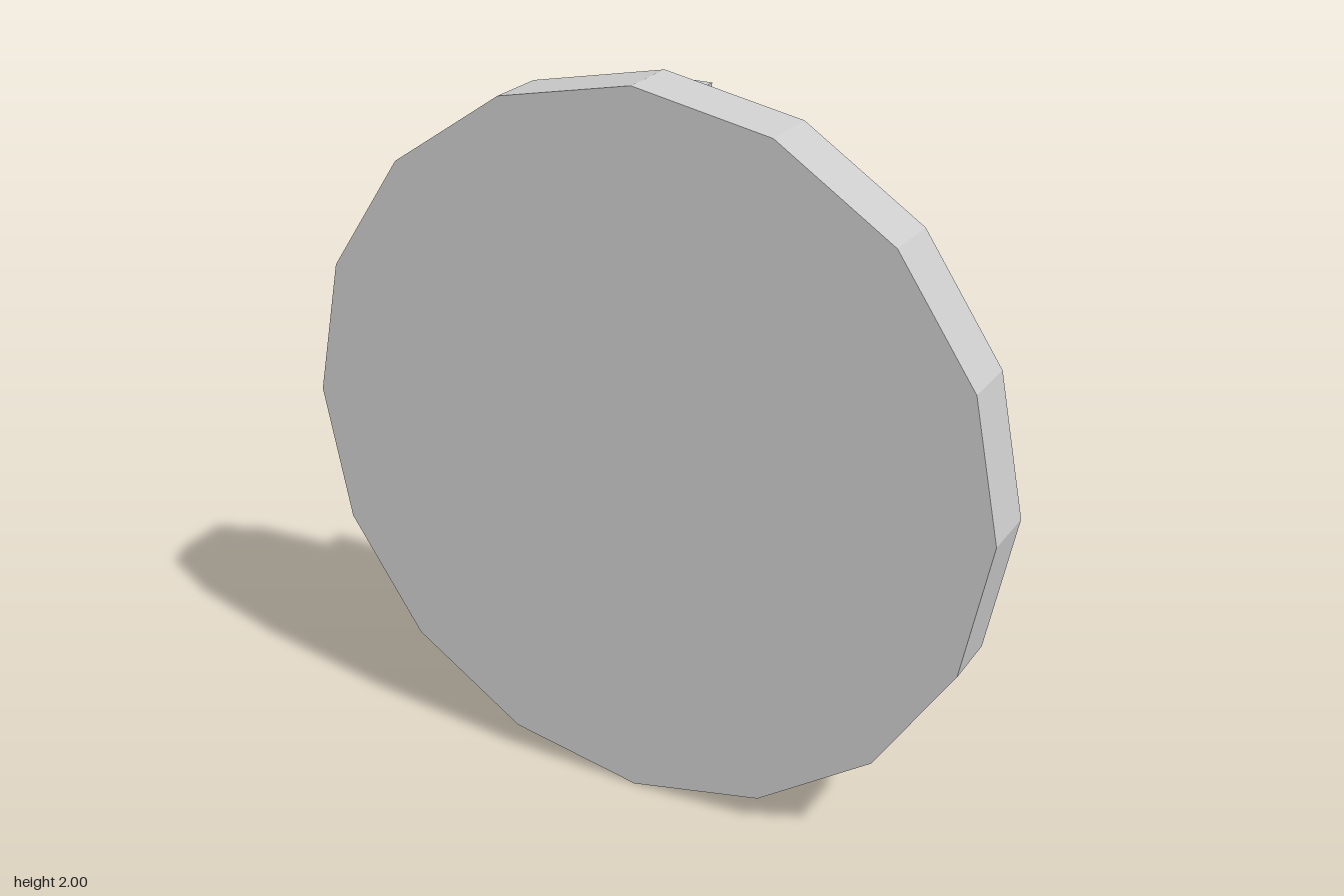
import * as THREE from 'three';

export function createModel() {
  const model = new THREE.Group();
  model.name = 'roundPlate';
  const grey = new THREE.MeshStandardMaterial({ color: 0xcccccc, flatShading: true });
  grey.name = 'grey';

  function add(name, geometry, x, y, z) {
    const mesh = new THREE.Mesh(geometry, grey);
    mesh.name = name;
    mesh.position.set(x, y, z);
    model.add(mesh);
  }

  // Sixteen-sided disc lying in the xy plane, between two depths
  function addDisc(name, radius, back, front) {
    const geometry = new THREE.CylinderGeometry(radius, radius, front - back, 16);
    geometry.rotateX(Math.PI / 2);
    add(name, geometry, 0, 1, (front + back) / 2);
  }

  addDisc('frontDisc', 1, -0.04, 0.132);
  addDisc('backDisc', 0.667, -0.132, -0.04);

  // Four small blocks standing just off the back of the large disc
  const block = new THREE.BoxGeometry(0.187, 0.187, 0.058);
  add('topBlock', block, 0, 1.868, -0.086);
  add('bottomBlock', block, 0, 0.15, -0.086);
  add('leftBlock', block, 0.785, 1, -0.086);
  add('rightBlock', block, -0.785, 1, -0.086);

  return model;
}
